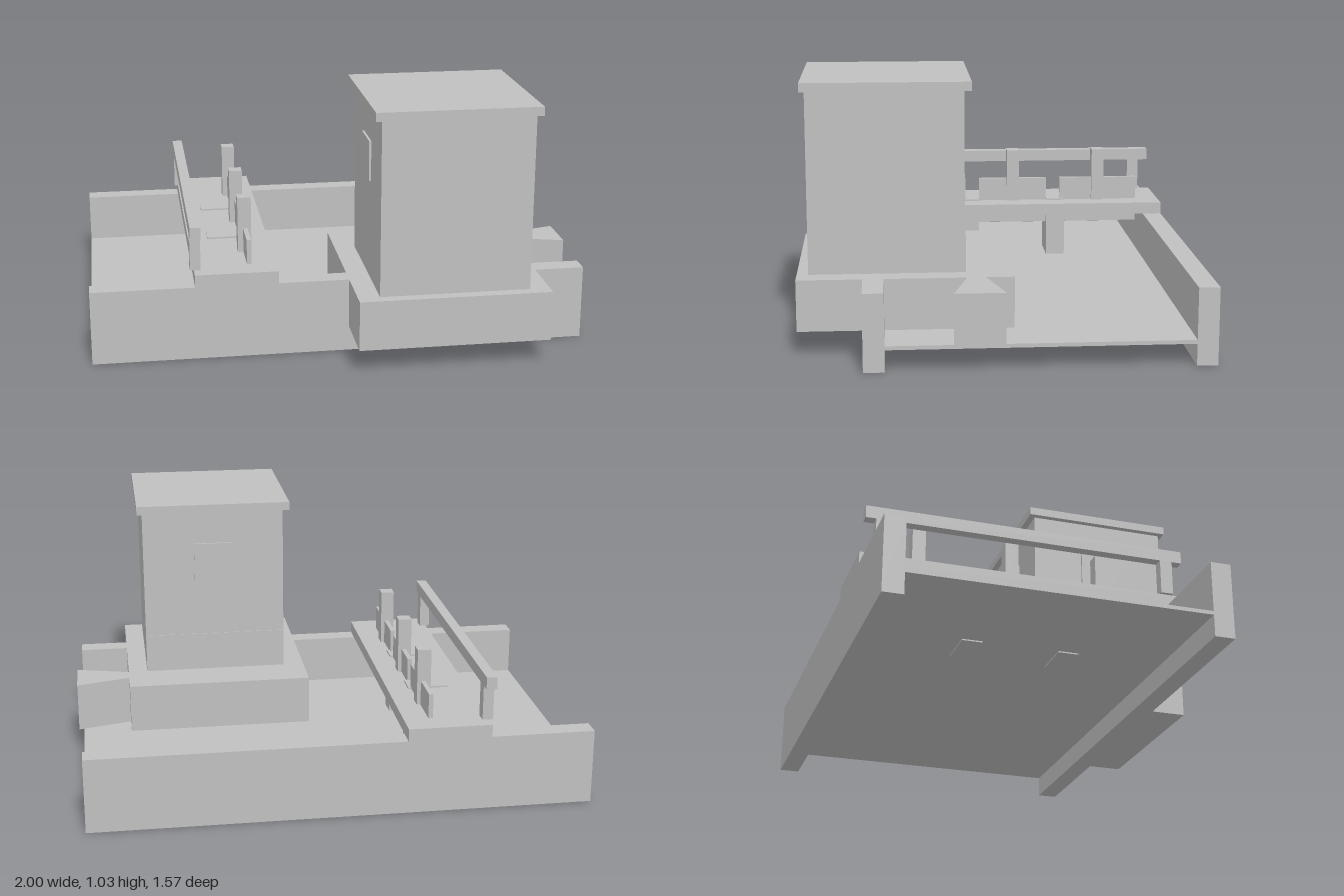
import * as THREE from 'three';

export function createModel() {
  const model = new THREE.Group();
  model.name = 'sluiceWithTower';
  const concrete = new THREE.MeshStandardMaterial({ color: 0xc0c0c0 });
  concrete.name = 'concrete grey';

  // Box given by its limits along each axis
  const box = (name, [x0, x1], [y0, y1], [z0, z1]) => {
    const mesh = new THREE.Mesh(new THREE.BoxGeometry(x1 - x0, y1 - y0, z1 - z0), concrete);
    mesh.position.set((x0 + x1) / 2, (y0 + y1) / 2, (z0 + z1) / 2);
    mesh.name = name;
    model.add(mesh);
  };
  const around = (c, width) => [c - width / 2, c + width / 2];

  // Channel: floor between two long walls
  const channel = [-1, 0.98];
  box('channelFloor', channel, [0.085, 0.1], [-0.705, 0.452]);
  box('backWall', channel, [0, 0.3], [-0.785, -0.705]);
  box('frontWall', channel, [0, 0.3], [0.452, 0.532]);

  // Bridge deck with handrail across the channel
  const mid = -0.127;
  box('bridgeDeck', [-0.59, -0.26], [0.3, 0.35], [-0.785, 0.532]);
  box('handrail', [-0.605, -0.563], [0.49, 0.54], around(mid, 1.286));
  for (const s of [-1, 1])
    box('handrailPost', [-0.605, -0.563], [0.35, 0.49], around(mid + s * 0.577, 0.05));

  // Piers under the deck
  for (const s of [-1, 1])
    box('bridgePier', [-0.51, -0.345], [0.08, 0.357], around(mid + s * 0.193, 0.082));

  // Sluice gates, each with a hoist post
  for (const [offset, width] of [[-0.383, 0.345], [0, 0.302], [0.383, 0.345]]) {
    box('sluiceGate', [-0.376, -0.358], [0.25, 0.45], around(mid + offset * 1.005, width));
    box('hoistPost', [-0.398, -0.343], [0.35, 0.58], around(mid + offset, 0.054));
  }

  // Control tower on its platform
  box('towerPlatform', [0.02, 0.78], [0.1, 0.3], [-0.042, 0.782]);
  box('towerBody', [0.106, 0.7], [0.3, 1.0], [0.142, 0.738]);
  box('towerPlinth', [0.106, 0.7], [0.3, 0.46], [0.139, 0.142]);
  box('towerRoof', [0.08, 0.722], [1.0, 1.035], [0.115, 0.757]);
  box('backWindow', [0.325, 0.485], [0.7, 0.862], [0.133, 0.142]);
  box('sideWindow', [0.097, 0.106], [0.7, 0.862], [0.36, 0.52]);

  // Flared end block between the platform and the channel mouth
  const plan = new THREE.Shape([[0.78, 0.066], [1, 0.006], [1, 0.198], [0.78, 0.138]]
    .map(([x, z]) => new THREE.Vector2(x, -z)));
  const flare = new THREE.Mesh(
    new THREE.ExtrudeGeometry(plan, { depth: 0.2, bevelEnabled: false }), concrete);
  flare.rotation.x = -Math.PI / 2;
  flare.position.y = 0.1;
  flare.name = 'flaredBlock';
  model.add(flare);

  return model;
}
